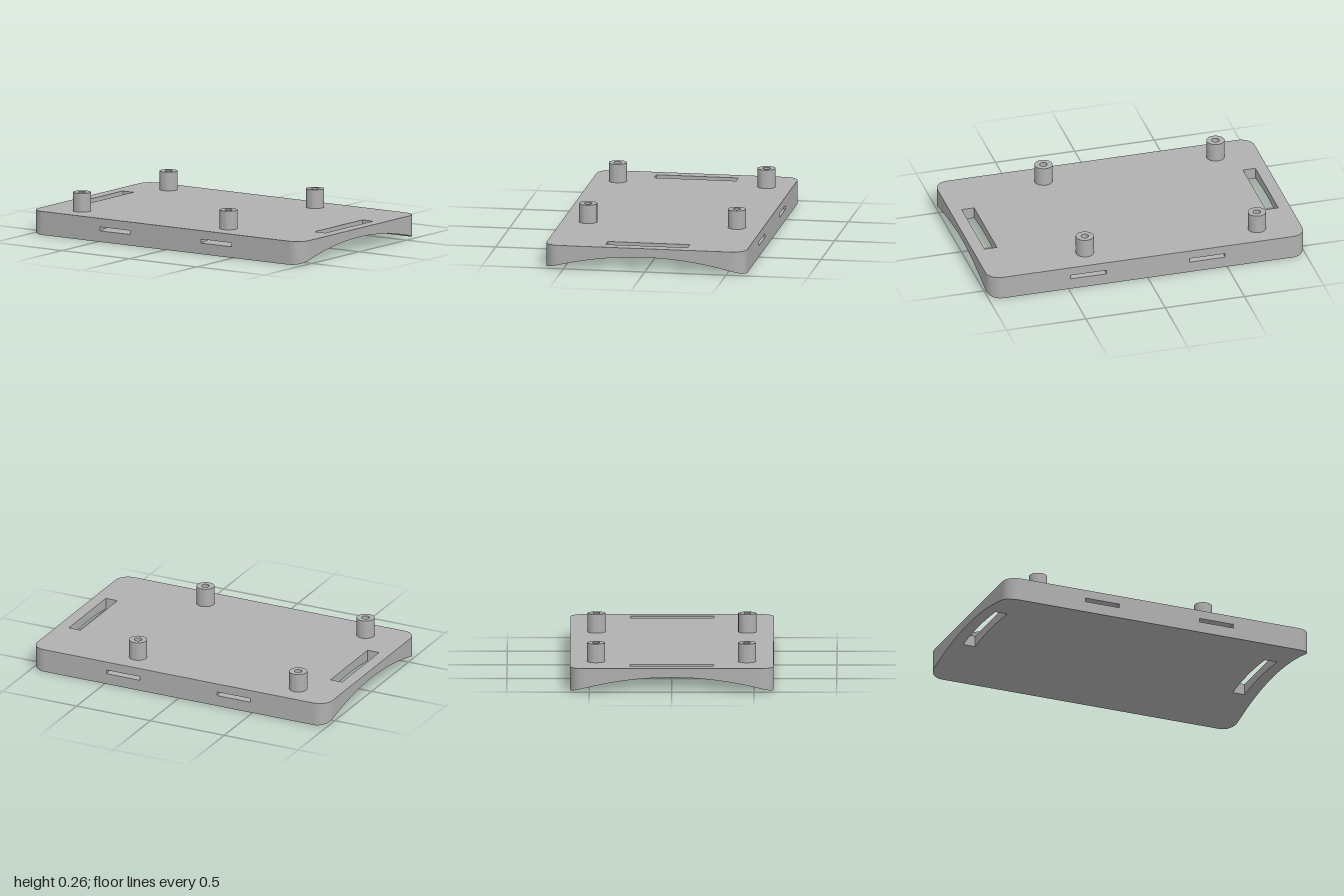
import * as THREE from 'three';
import { toCreasedNormals } from 'three/addons/utils/BufferGeometryUtils.js';

const TOP = 0.145, Z = 0.617, R = 0.085, ARCH = 0.09;
const SLOT = { x0: 0.848, x1: 0.926, z: 0.252 };       // strap slots through the plate
const CHANNEL = { y: 0.068, h: 0.024, rise: 0.035, x0: 0.262, x1: 0.487 };

const underside = z => ARCH * (1 - (z / Z) ** 2);
const halfWidth = z => {
  const d = Math.max(0, Math.abs(z) - (Z - R));
  return 1 - R + Math.sqrt(Math.max(0, R * R - d * d));
};

// Collects quads (corners counter-clockwise from outside) into one geometry
function quads(build) {
  const pos = [];
  build((a, b, c, d) => pos.push(...a, ...b, ...c, ...a, ...c, ...d));
  const g = new THREE.BufferGeometry();
  g.setAttribute('position', new THREE.Float32BufferAttribute(pos, 3));
  g.computeVertexNormals();
  return toCreasedNormals(g, 0.5);
}

// z positions: fine in the rounded corners, even along the middle
function zStations() {
  const half = [];
  for (let i = 0; i <= 8; i++) half.push(SLOT.z * i / 8);
  for (let i = 1; i <= 9; i++) half.push(SLOT.z + (Z - R - SLOT.z) * i / 9);
  for (let i = 1; i <= 8; i++) half.push(Z - R + R * Math.sin(i / 8 * Math.PI / 2));
  return [...half.slice(1).reverse().map(z => -z), ...half];
}

// Plate top, arched underside, rounded side walls and strap slot walls
function plateGeometry() {
  const zs = zStations();
  return quads(quad => {
    for (let i = 0; i < zs.length - 1; i++) {
      const za = zs[i], zb = zs[i + 1], ya = underside(za), yb = underside(zb);
      const wa = halfWidth(za), wb = halfWidth(zb);
      const inSlot = Math.abs((za + zb) / 2) < SLOT.z;
      const spans = inSlot
        ? [[-wa, -SLOT.x1, -wb, -SLOT.x1], [-SLOT.x0, SLOT.x0, -SLOT.x0, SLOT.x0], [SLOT.x1, wa, SLOT.x1, wb]]
        : [[-wa, wa, -wb, wb]];
      for (const [a0, a1, b0, b1] of spans) {
        quad([a0, TOP, za], [b0, TOP, zb], [b1, TOP, zb], [a1, TOP, za]);
        quad([a0, ya, za], [a1, ya, za], [b1, yb, zb], [b0, yb, zb]);
        // walls at both ends of each span
        quad([a1, ya, za], [a1, TOP, za], [b1, TOP, zb], [b1, yb, zb]);
        quad([a0, ya, za], [b0, yb, zb], [b0, TOP, zb], [a0, TOP, za]);
      }
    }
    // short end walls of the slots
    const y = underside(SLOT.z), s = SLOT.z;
    for (const [x0, x1] of [[SLOT.x0, SLOT.x1], [-SLOT.x1, -SLOT.x0]]) {
      quad([x0, y, -s], [x1, y, -s], [x1, TOP, -s], [x0, TOP, -s]);
      quad([x1, y, s], [x0, y, s], [x0, TOP, s], [x1, TOP, s]);
    }
  });
}

const rect = (Type, x0, x1, y0, y1) => new Type([
  new THREE.Vector2(x0, y0), new THREE.Vector2(x1, y0),
  new THREE.Vector2(x1, y1), new THREE.Vector2(x0, y1)]);

// Flat long wall with two channel mouths
function wallGeometry() {
  const shape = rect(THREE.Shape, -1 + R, 1 - R, 0, TOP);
  for (const [x0, x1] of [[-CHANNEL.x1, -CHANNEL.x0], [CHANNEL.x0, CHANNEL.x1]])
    shape.holes.push(rect(THREE.Path, x0, x1, CHANNEL.y, CHANNEL.y + CHANNEL.h));
  return new THREE.ShapeGeometry(shape);
}

// Inside faces of one gently arched channel
function channelGeometry(x0, x1) {
  const N = 24;
  const floor = z => CHANNEL.y + CHANNEL.rise * (1 - (z / Z) ** 2);
  return quads(quad => {
    for (let i = 0; i < N; i++) {
      const za = -Z + 2 * Z * i / N, zb = -Z + 2 * Z * (i + 1) / N;
      const fa = floor(za), fb = floor(zb), ca = fa + CHANNEL.h, cb = fb + CHANNEL.h;
      quad([x0, fa, za], [x0, fb, zb], [x1, fb, zb], [x1, fa, za]);
      quad([x0, ca, za], [x1, ca, za], [x1, cb, zb], [x0, cb, zb]);
      quad([x0, fa, za], [x0, ca, za], [x0, cb, zb], [x0, fb, zb]);
      quad([x1, fa, za], [x1, fb, zb], [x1, cb, zb], [x1, ca, za]);
    }
  });
}

// Standoff post with a blind screw hole
function postGeometry() {
  const profile = [[0.055, TOP], [0.055, 0.26], [0.023, 0.26], [0.023, TOP + 0.002], [0, TOP + 0.002]];
  return toCreasedNormals(
    new THREE.LatheGeometry(profile.map(p => new THREE.Vector2(...p)), 40), 0.5);
}

export function createModel() {
  const group = new THREE.Group();
  const grey = new THREE.MeshStandardMaterial({ color: 0xb0b0b0 });
  grey.name = 'grey';
  const add = (name, geometry, x = 0, z = 0) => {
    const mesh = new THREE.Mesh(geometry, grey);
    mesh.name = name;
    mesh.position.set(x, 0, z);
    group.add(mesh);
    return mesh;
  };

  add('plate', plateGeometry());
  const wall = wallGeometry();
  add('frontWall', wall, 0, Z);
  add('backWall', wall, 0, -Z).rotation.y = Math.PI;
  add('leftChannel', channelGeometry(CHANNEL.x0, CHANNEL.x1));
  add('rightChannel', channelGeometry(-CHANNEL.x1, -CHANNEL.x0));

  const post = postGeometry();
  for (const x of [-0.732, 0.353])
    for (const z of [-0.459, 0.456]) add('standoffPost', post, x, z);
  return group;
}
